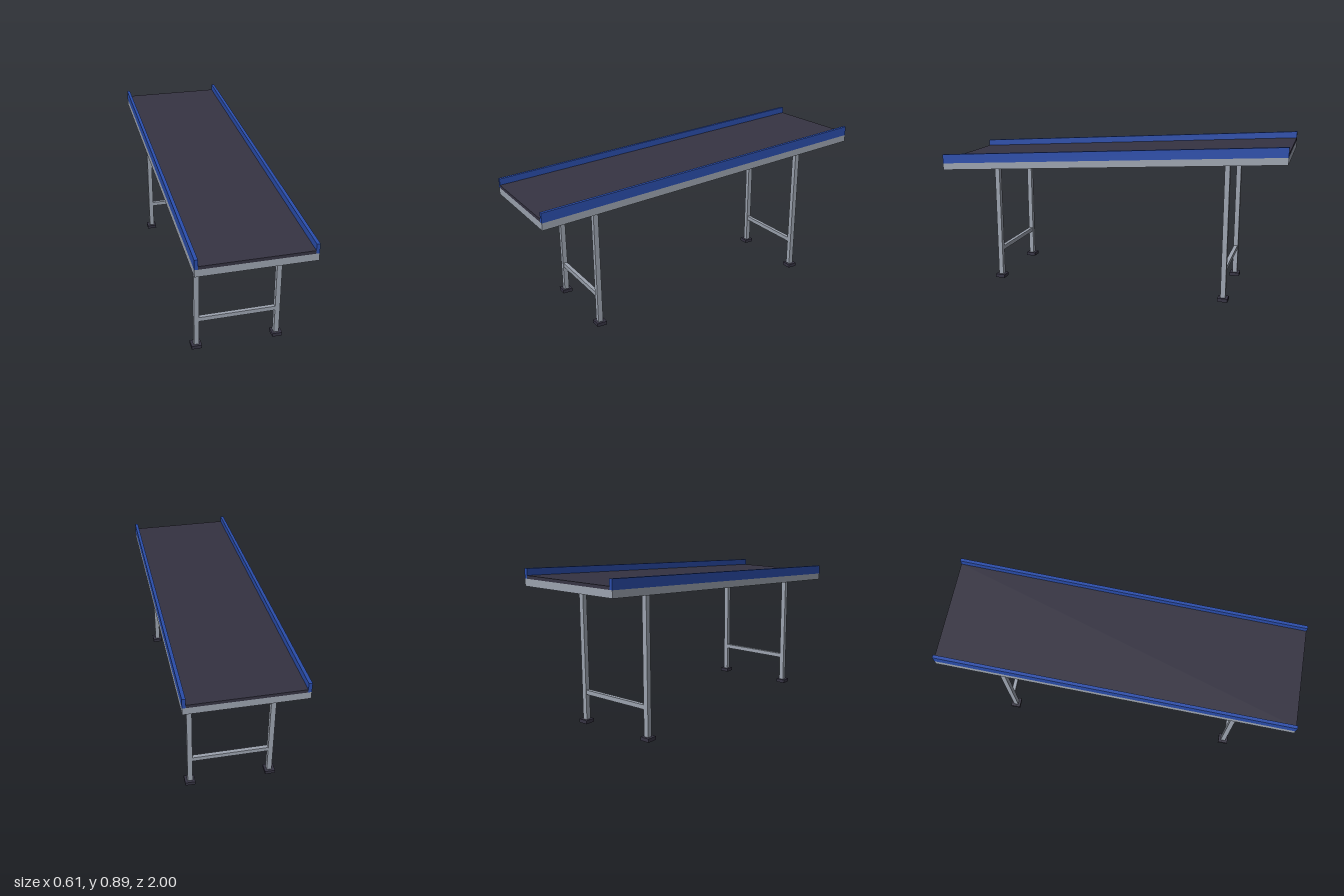
import * as THREE from 'three';

const SLOPE = 0.0705; // rise per unit towards the back

export function createModel() {
  const steel = new THREE.MeshStandardMaterial({ name: 'steel grey', color: 0x9ca3af });
  const blue = new THREE.MeshStandardMaterial({ name: 'rail blue', color: 0x2a4dab });
  const dark = new THREE.MeshStandardMaterial({ name: 'belt charcoal', color: 0x353342 });

  const model = new THREE.Group();
  model.name = 'inclinedConveyor';

  function add(name, geometry, material, x = 0, y = 0, z = 0) {
    const mesh = new THREE.Mesh(geometry, material);
    mesh.name = name;
    mesh.position.set(x, y, z);
    model.add(mesh);
  }

  // Full-length bar with vertical ends; bottom and top are heights at the front end
  function slopedBar(width, bottom, top) {
    const g = new THREE.BoxGeometry(width, top - bottom, 2);
    const p = g.attributes.position;
    for (let i = 0; i < p.count; i++) {
      p.setY(i, p.getY(i) + (bottom + top) / 2 + (1 - p.getZ(i)) * SLOPE);
    }
    g.computeVertexNormals();
    return g;
  }

  // Sloping bed, belt and side rails
  add('bed', slopedBar(0.612, 0.66, 0.699), steel);
  add('belt', slopedBar(0.576, 0.699, 0.716), dark);
  for (const side of [-1, 1]) {
    add(side > 0 ? 'leftRail' : 'rightRail', slopedBar(0.018, 0.699, 0.752), blue, side * 0.297);
  }

  // Square foot sleeve with the leg passing through it
  const outline = (h) => [[-h, -h], [h, -h], [h, h], [-h, h]].map(([x, y]) => new THREE.Vector2(x, y));
  const footShape = new THREE.Shape(outline(0.0285));
  footShape.holes.push(new THREE.Path(outline(0.0138).reverse()));
  const footGeometry = new THREE.ExtrudeGeometry(footShape, { depth: 0.02, bevelEnabled: false });
  footGeometry.rotateX(-Math.PI / 2);

  // Two leg frames, each with a crossbar
  for (const [end, z] of [['front', 0.68], ['back', -0.68]]) {
    const height = 0.675 + (1 - z) * SLOPE;
    for (const side of [-1, 1]) {
      const label = end + (side > 0 ? 'Left' : 'Right');
      add(label + 'Leg', new THREE.BoxGeometry(0.028, height, 0.028), steel, side * 0.226, height / 2, z);
      add(label + 'Foot', footGeometry, dark, side * 0.228, 0, z);
    }
    add(end + 'Crossbar', new THREE.BoxGeometry(0.426, 0.025, 0.022), steel, 0, 0.179, z);
  }
  return model;
}
